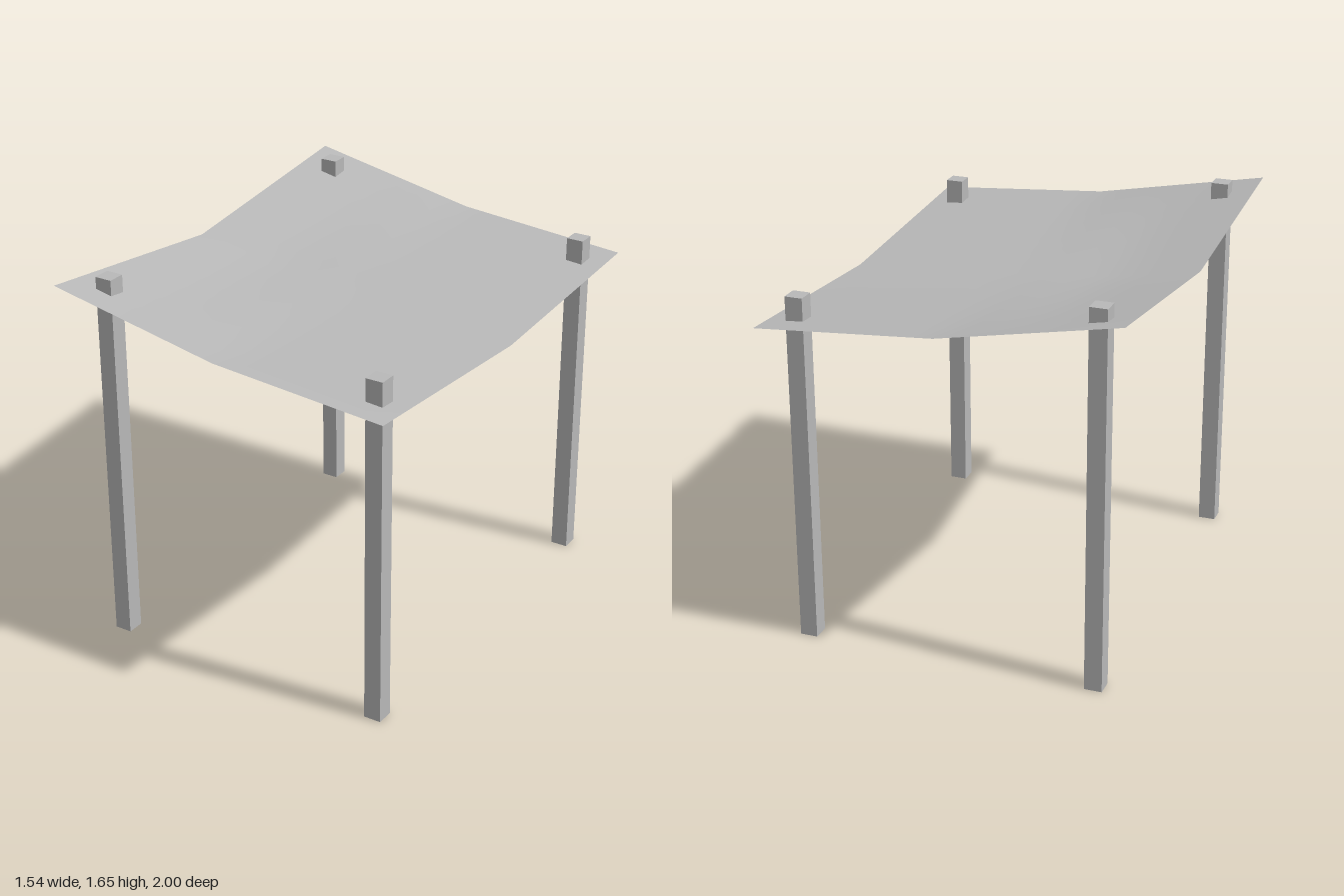
import * as THREE from 'three';

const WIDTH = 1.54, DEPTH = 2;

// Heights of the canopy across x: middle line (z = 0) and raised rims (z = ±1)
const MIDDLE = [1.525, 1.418, 1.365];
const RIM = [1.64, 1.49, 1.428];

function profile([a, b, c], x) {
  const t = x / (WIDTH / 2);
  return t < 0 ? b + (a - b) * -t : b + (c - b) * t;
}

function canopyHeight(x, z) {
  const base = THREE.MathUtils.lerp(profile(MIDDLE, x), profile(RIM, x), Math.abs(z));
  // slight extra slack in the cloth near the high side
  const slack = 0.02 * Math.max(0, 1 - Math.abs(x + 0.4) / 0.37) * (1 - z * z);
  return base - slack;
}

// Square hollow post, closed on top and open at the foot
function makePost(height, material) {
  const size = 0.076;
  const geometry = new THREE.BoxGeometry(size, height, size);
  const index = Array.from(geometry.index.array);
  index.splice(18, 6);
  geometry.setIndex(index);
  geometry.clearGroups();
  geometry.translate(0, height / 2, 0);
  return new THREE.Mesh(geometry, material);
}

export function createModel() {
  const model = new THREE.Group();
  model.name = 'shadeCanopy';

  const grey = new THREE.MeshStandardMaterial({ color: 0xb8b8b8, side: THREE.DoubleSide });
  grey.name = 'grey';

  // Sagging cloth sheet
  const sheet = new THREE.PlaneGeometry(WIDTH, DEPTH, 14, 12);
  sheet.rotateX(-Math.PI / 2);
  const p = sheet.attributes.position;
  for (let i = 0; i < p.count; i++) p.setY(i, canopyHeight(p.getX(i), p.getZ(i)));
  sheet.computeVertexNormals();
  const canopy = new THREE.Mesh(sheet, grey);
  canopy.name = 'canopy';
  model.add(canopy);

  // Four posts: tall pair on the right, short pair on the left
  for (const [x, height, label] of [[-0.625, 1.655, 'tall'], [0.65, 1.53, 'short']]) {
    for (const [z, end] of [[0.83, 'Front'], [-0.84, 'Back']]) {
      const post = makePost(height, grey);
      post.position.set(x, 0, z);
      post.name = `${label}${end}Post`;
      model.add(post);
    }
  }
  return model;
}
